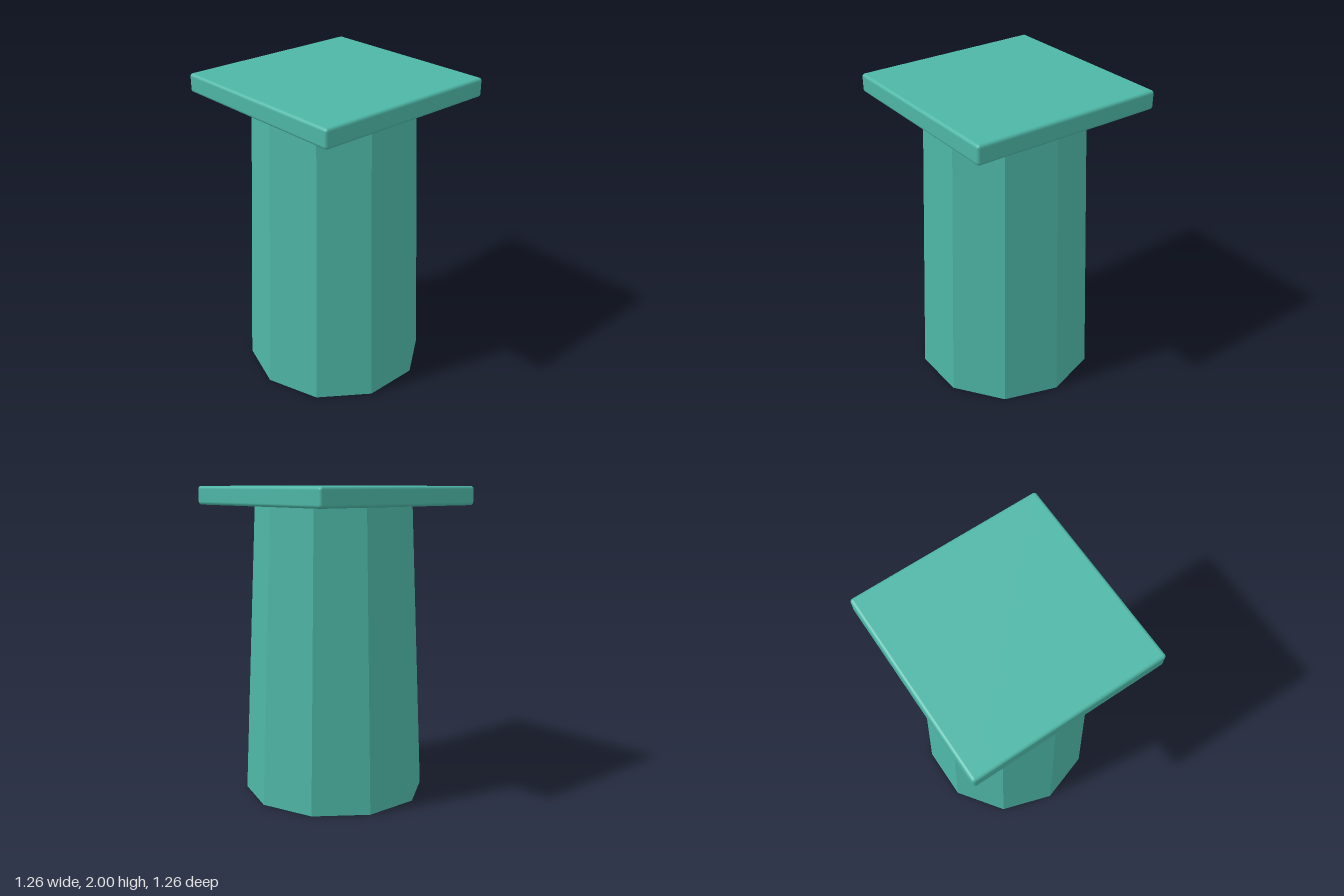
import * as THREE from 'three';
import { RoundedBoxGeometry } from 'three/addons/geometries/RoundedBoxGeometry.js';

export function createModel() {
  const group = new THREE.Group();
  group.name = 'pedestal';

  const teal = new THREE.MeshStandardMaterial({ color: 0x4db6a6 });
  teal.name = 'teal';

  const slabHeight = 0.12;
  const slabWidth = 1.26;
  const columnHeight = 2 - slabHeight;

  // Tapered ten-sided column, one corner facing the front
  const columnGeometry = new THREE.CylinderGeometry(0.508, 0.59, columnHeight, 10).toNonIndexed();
  columnGeometry.computeVertexNormals(); // flat facets
  const column = new THREE.Mesh(columnGeometry, teal);
  column.name = 'column';
  column.position.y = columnHeight / 2;
  group.add(column);

  // Square top slab with softened edges
  const slab = new THREE.Mesh(new RoundedBoxGeometry(slabWidth, slabHeight, slabWidth, 3, 0.02), teal);
  slab.name = 'topSlab';
  slab.position.y = 2 - slabHeight / 2;
  group.add(slab);

  return group;
}
